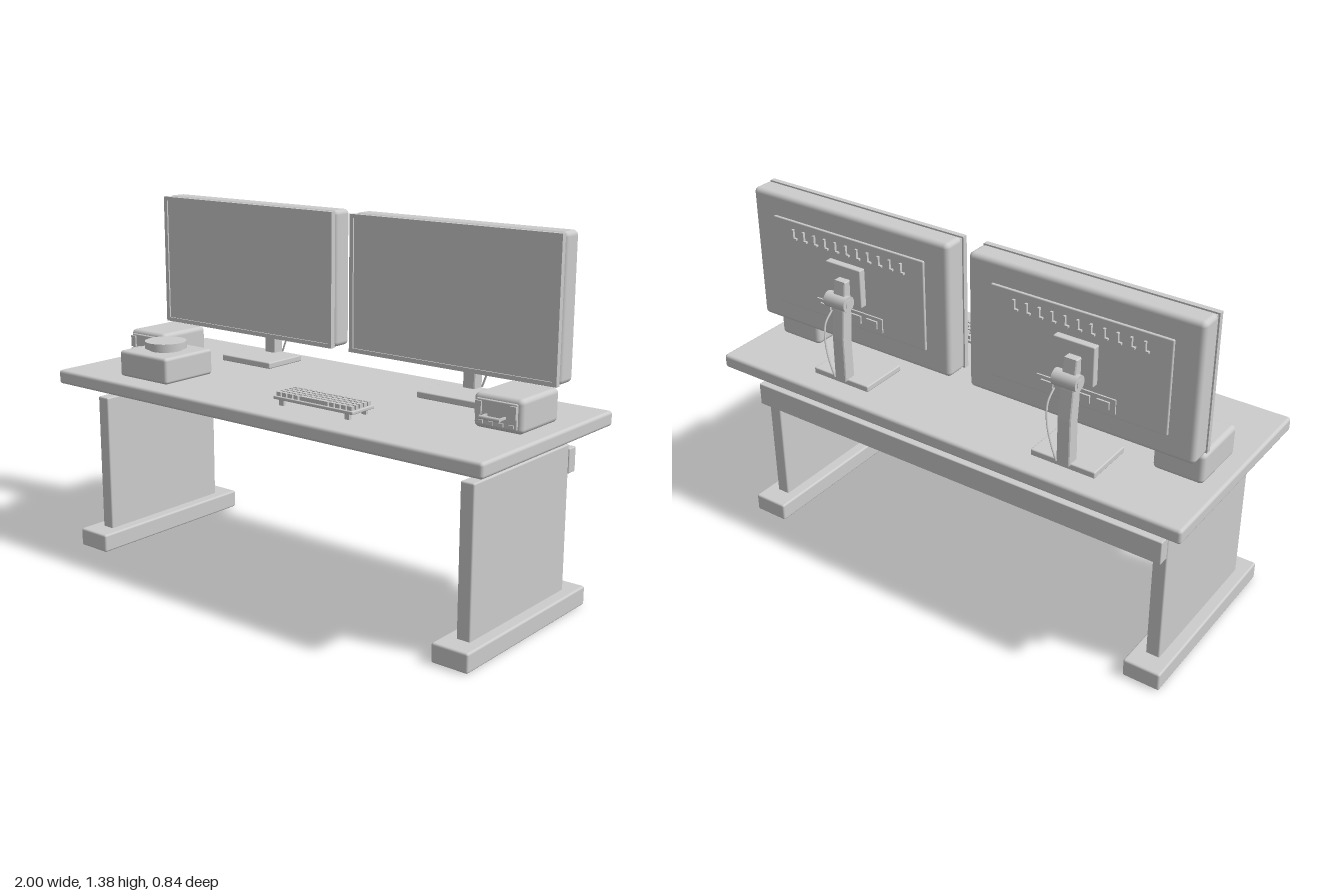
import * as THREE from 'three';
import { RoundedBoxGeometry } from 'three/addons/geometries/RoundedBoxGeometry.js';

const gray = new THREE.MeshStandardMaterial({ color: 0xcccccc });
gray.name = 'light gray';

function add(parent, name, geometry) {
  const mesh = new THREE.Mesh(geometry, gray);
  mesh.name = name;
  parent.add(mesh);
  return mesh;
}

// Box given by its extents [min, max] on each axis; r > 0 rounds the edges
function box(parent, name, [x0, x1], [y0, y1], [z0, z1], r = 0) {
  const s = [x1 - x0, y1 - y0, z1 - z0];
  const g = r ? new RoundedBoxGeometry(...s, 3, r) : new THREE.BoxGeometry(...s);
  const mesh = add(parent, name, g);
  mesh.position.set((x0 + x1) / 2, (y0 + y1) / 2, (z0 + z1) / 2);
  return mesh;
}

function cylinderX(parent, name, r, length, x, y, z) {
  const mesh = add(parent, name, new THREE.CylinderGeometry(r, r, length, 24));
  mesh.rotation.z = Math.PI / 2;
  mesh.position.set(x, y, z);
  return mesh;
}

function cable(parent, name, points, r) {
  const curve = new THREE.CatmullRomCurve3(points.map(p => new THREE.Vector3(...p)));
  return add(parent, name, new THREE.TubeGeometry(curve, 24, r, 6));
}

function group(parent, name, x = 0) {
  const g = new THREE.Group();
  g.name = name;
  g.position.x = x;
  parent.add(g);
  return g;
}

function buildDesk(parent) {
  const desk = group(parent, 'desk');
  box(desk, 'tableTop', [-1, 1], [0.68, 0.735], [-0.418, 0.418], 0.012);
  box(desk, 'rearBeam', [-0.9, 0.9], [0.51, 0.602], [-0.345, -0.3], 0.004);
  for (const [side, x] of [['left', 0.87], ['right', -0.875]]) {
    box(desk, side + 'Leg', [x - 0.027, x + 0.027], [0.06, 0.62], [-0.302, 0.302], 0.006);
    box(desk, side + 'Foot', [x - 0.073, x + 0.073], [0, 0.072], [-0.382, 0.382], 0.008);
  }
}

function buildMonitor(parent, name, x) {
  const m = group(parent, name, x);
  const w = 0.447;

  // Front frame with the screen set slightly back
  const frame = new THREE.Shape();
  frame.moveTo(-w, 0.862).lineTo(w, 0.862).lineTo(w, 1.382).lineTo(-w, 1.382).closePath();
  const hole = new THREE.Path();
  hole.moveTo(-w + 0.017, 0.878).lineTo(-w + 0.017, 1.367)
    .lineTo(w - 0.017, 1.367).lineTo(w - 0.017, 0.878).closePath();
  frame.holes.push(hole);
  add(m, 'screenFrame', new THREE.ExtrudeGeometry(frame, { depth: 0.02, bevelEnabled: false }))
    .position.z = -0.145;
  box(m, 'screen', [-w + 0.016, w - 0.016], [0.877, 1.368], [-0.145, -0.131]);
  box(m, 'seam', [-w + 0.006, w - 0.006], [0.87, 1.376], [-0.16, -0.143]);
  box(m, 'backShell', [-w, w], [0.862, 1.385], [-0.238, -0.149], 0.018);

  // Back cover, vents and ports
  box(m, 'backCover', [-0.347, 0.347], [0.947, 1.3], [-0.247, -0.234], 0.004);
  for (let i = 0; i < 11; i++) {
    const vx = -0.25 + i * 0.05;
    box(m, 'vent', [vx - 0.004, vx + 0.004], [1.23, 1.27], [-0.257, -0.245]);
    box(m, 'ventFoot', [vx - 0.016, vx + 0.004], [1.23, 1.237], [-0.257, -0.245]);
  }
  box(m, 'portStrip', [-0.155, 0.155], [0.962, 1.018], [-0.253, -0.245]);
  for (const px of [-0.11, -0.035, 0.035, 0.11])
    box(m, 'port', [px - 0.024, px + 0.024], [0.975, 1.005], [-0.26, -0.25]);

  // Mount, hinge, post and base
  box(m, 'mountPlate', [-0.08, 0.08], [1.05, 1.2], [-0.274, -0.245], 0.004);
  cylinderX(m, 'hinge', 0.03, 0.095, 0, 1.071, -0.305);
  cylinderX(m, 'hingeCap', 0.017, 0.1, 0, 1.071, -0.305);
  box(m, 'hingeArm', [-0.025, 0.025], [1.05, 1.1], [-0.3, -0.27]);
  const post = new THREE.Shape([
    [0.285, 0.755], [0.33, 0.755], [0.33, 0.93], [0.318, 1.04], [0.302, 1.15],
    [0.278, 1.15], [0.28, 1.0], [0.287, 0.92],
  ].map(p => new THREE.Vector2(...p)));
  const postMesh = add(m, 'post', new THREE.ExtrudeGeometry(post, {
    depth: 0.044, bevelThickness: 0.004, bevelSize: 0.003, bevelSegments: 1,
  }));
  postMesh.rotation.y = Math.PI / 2;
  postMesh.position.x = -0.03;
  box(m, 'standBase', [-0.129, 0.129], [0.735, 0.76], [-0.323, -0.125], 0.005);

  // Cables
  cable(m, 'signalCable', [[0.08, 0.99, -0.257], [0.078, 0.95, -0.3], [0.066, 0.89, -0.32],
    [0.04, 0.82, -0.333], [0.018, 0.76, -0.333]], 0.004);
  cable(m, 'powerCable', [[0.007, 0.74, -0.255], [0.007, 0.68, -0.255], [0.007, 0.612, -0.255]], 0.0015);
}

function buildSpeaker(parent, name, x) {
  const s = group(parent, name, x);
  box(s, 'cabinet', [-0.096, 0.096], [0.737, 0.857], [-0.157, 0.082], 0.018);
  box(s, 'frontPanel', [-0.08, 0.08], [0.752, 0.842], [0.078, 0.09], 0.004);
  // Front handle on two brackets
  cylinderX(s, 'handleBar', 0.007, 0.08, 0, 0.79, 0.128);
  for (const bx of [-0.036, 0.036])
    box(s, 'handleBracket', [bx - 0.003, bx + 0.003], [0.786, 0.794], [0.085, 0.126]);
  for (const bx of [-0.068, 0.068])
    box(s, 'sideClip', [bx - 0.012, bx + 0.012], [0.79, 0.835], [0.088, 0.097]);
  for (const bx of [-0.06, -0.02, 0.02, 0.06])
    box(s, 'lowerButton', [bx - 0.01, bx + 0.01], [0.758, 0.77], [0.088, 0.095]);
}

function buildPuckDevice(parent) {
  const d = group(parent, 'dialDevice', -0.602);
  box(d, 'deviceBody', [-0.127, 0.127], [0.737, 0.838], [0.082, 0.335], 0.012);
  const neck = add(d, 'dialNeck', new THREE.CylinderGeometry(0.065, 0.065, 0.02, 40));
  neck.position.set(0, 0.841, 0.208);
  const dial = add(d, 'dial', new THREE.CylinderGeometry(0.081, 0.081, 0.027, 48));
  dial.position.set(0, 0.86, 0.208);
}

function buildKeyboard(parent) {
  const k = group(parent, 'keyboard', 0.206);
  box(k, 'keyboardPlate', [-0.181, 0.181], [0.757, 0.769], [0.165, 0.288], 0.003);
  for (const fx of [-0.15, 0.15])
    for (const fz of [0.18, 0.273])
      box(k, 'keyboardFoot', [fx - 0.01, fx + 0.01], [0.735, 0.76], [fz - 0.006, fz + 0.006]);
  for (let row = 0; row < 5; row++) {
    const z = 0.181 + row * 0.0228;
    for (let col = 0; col < 13; col++) {
      if (row === 4 && col > 3 && col < 9) continue;
      const x = -0.162 + col * 0.027;
      box(k, 'key', [x - 0.01, x + 0.01], [0.767, 0.784], [z - 0.008, z + 0.008]);
    }
  }
  box(k, 'spaceBar', [-0.064, 0.064], [0.767, 0.784], [0.264, 0.28]);
}

export function createModel() {
  const model = new THREE.Group();
  model.name = 'computerDesk';
  buildDesk(model);
  buildMonitor(model, 'leftMonitor', 0.488);
  buildMonitor(model, 'rightMonitor', -0.492);
  buildSpeaker(model, 'leftSpeaker', 0.836);
  buildSpeaker(model, 'rightSpeaker', -0.842);
  buildPuckDevice(model);
  buildKeyboard(model);
  return model;
}
